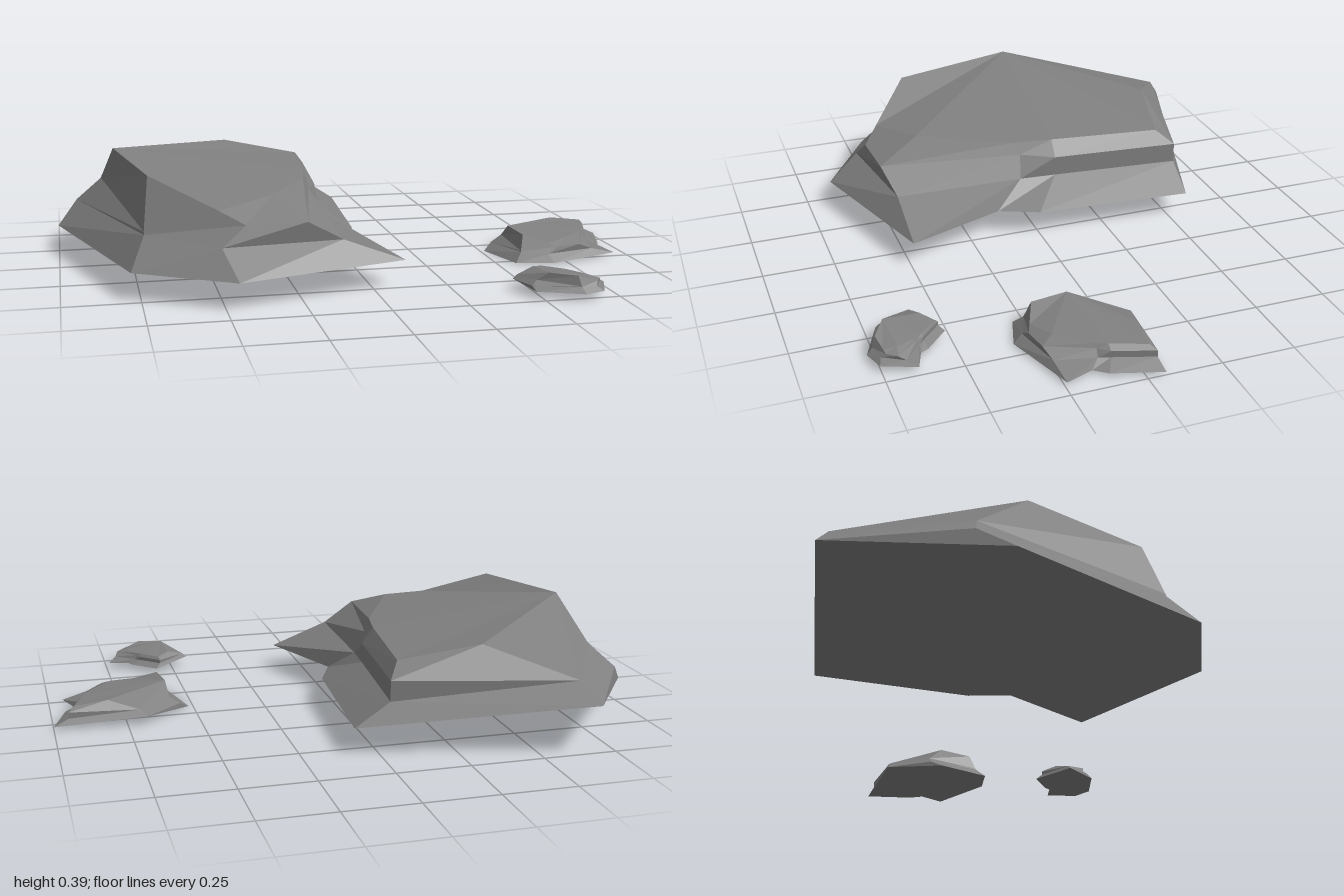
import * as THREE from 'three';

// Four loops from base to top rim, counter-clockwise seen from above:
// west, south-west, south, south-east, notch, east, north-east, north
const LOOPS = [
  // base outline, lifted at the north corner
  [[-1, .09, -.27], [-.78, .09, .47], [-.46, .09, .665], [.11, .09, .49], [-.02, .09, .14],
    [.04, .09, 0], [.08, .09, -.56], [-.68, .17, -.78]],
  // foot of the ledge
  [[-.93, .165, -.37], [-.73, .19, .38], [-.5, .175, .55], [-.1, .17, .49], [-.09, .17, .03],
    [-.08, .17, -.1], [-.04, .17, -.56], [-.68, .17, -.78]],
  // ledge edge
  [[-.84, .25, -.33], [-.73, .2, .375], [-.42, .24, .53], [-.22, .24, .52], [-.125, .25, .02],
    [-.08, .24, -.1], [-.04, .24, -.56], [-.625, .243, -.725]],
  // top rim
  [[-.8, .39, -.14], [-.71, .37, .31], [-.5, .278, .468], [-.31, .3, .36], [-.15, .29, .05],
    [-.12, .295, -.1], [-.08, .29, -.5], [-.35, .34, -.56]],
];

function rockGeometry() {
  const positions = [];
  const tri = (a, b, c) => {
    const [p, q, r] = [a, b, c].map((v) => new THREE.Vector3(...v));
    // skip slivers where neighbouring corners coincide
    if (q.sub(p).cross(r.sub(p)).length() > 1e-6) positions.push(...a, ...b, ...c);
  };
  const n = LOOPS[0].length;

  // side bands
  for (let k = 0; k < LOOPS.length - 1; k++) {
    const low = LOOPS[k], high = LOOPS[k + 1];
    for (let i = 0; i < n; i++) {
      const j = (i + 1) % n;
      tri(low[i], low[j], high[j]);
      tri(low[i], high[j], high[i]);
    }
  }

  // sloping top and underside
  const base = LOOPS[0], top = LOOPS[LOOPS.length - 1];
  for (let i = 1; i < n - 1; i++) {
    tri(top[0], top[i], top[i + 1]);
    tri(base[0], base[i + 1], base[i]);
  }

  const geometry = new THREE.BufferGeometry();
  geometry.setAttribute('position', new THREE.Float32BufferAttribute(positions, 3));
  geometry.computeVertexNormals();
  return geometry;
}

export function createModel() {
  const group = new THREE.Group();
  group.name = 'rockGroup';
  const material = new THREE.MeshStandardMaterial({ color: 0x808080, flatShading: true });

  // The same stone, squashed and turned for the two smaller ones
  const addRock = (name, rows) => {
    const geometry = rockGeometry();
    geometry.applyMatrix4(new THREE.Matrix4().set(...rows, 0, 0, 0, 1));
    const mesh = new THREE.Mesh(geometry, material);
    mesh.name = name;
    group.add(mesh);
  };

  addRock('largeRock', [1, 0, 0, 0, 0, 1, 0, 0, 0, 0, 1, 0]);
  addRock('mediumRock', [.433, 0, -.06, .932, .01, .317, 0, -.0185, -.055, 0, .29, .107]);
  addRock('smallRock', [.126, 0, .157, .648, 0, .19, 0, .005, -.155, 0, .128, .597]);
  return group;
}
